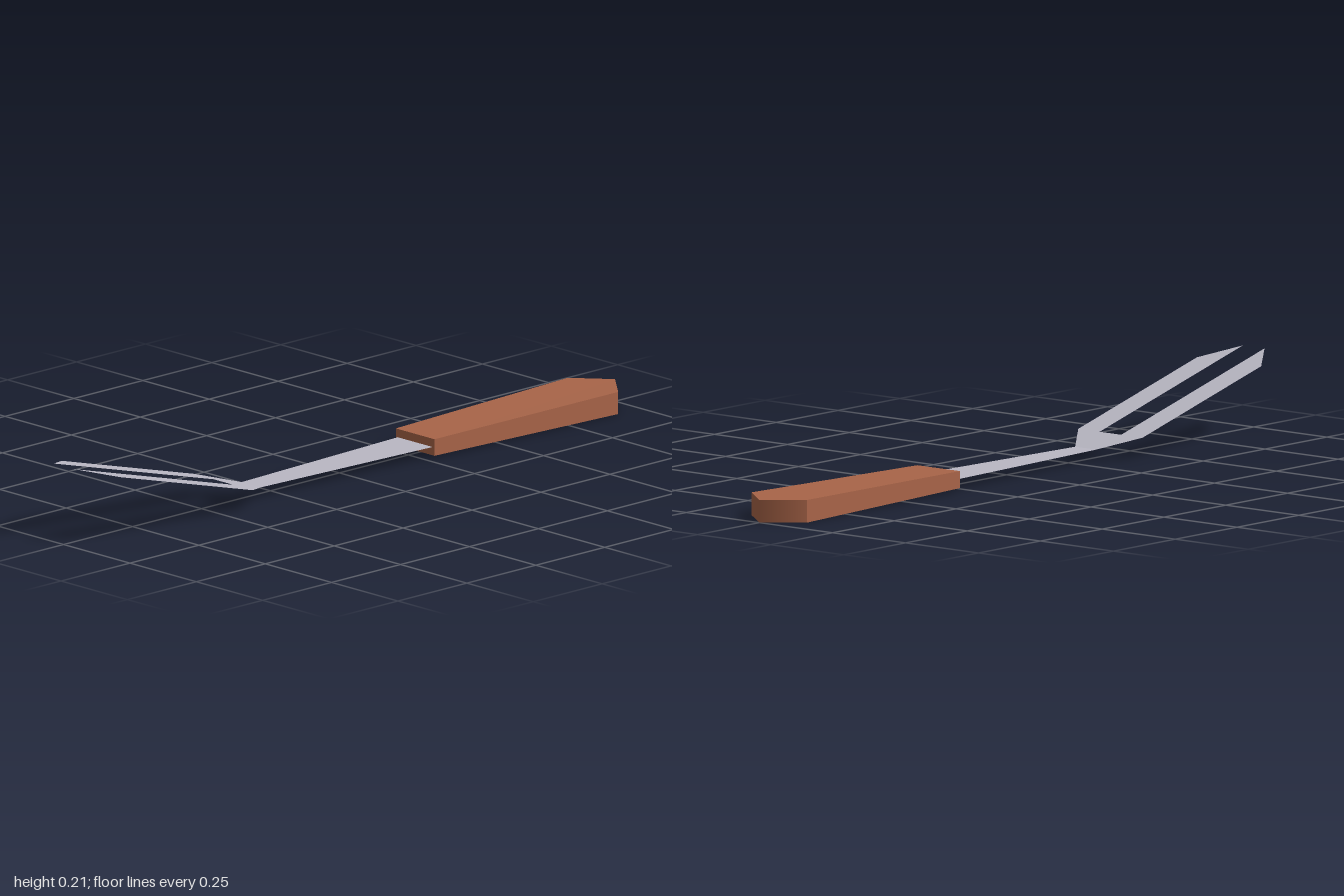
import * as THREE from 'three';

const BEND = -0.32; // x where the fork starts to rise
const MID = 0.03;   // height of the shaft sheet

// Shape lying in the ground plane, mirrored about the x axis
function mirroredShape(half) {
  const pts = half.map(([x, z]) => new THREE.Vector2(x, -z));
  const back = half.filter(p => p[1] !== 0).reverse().map(([x, z]) => new THREE.Vector2(x, z));
  return new THREE.Shape([...pts, ...back]);
}

// Set each vertex height by a rule of x and its present height
function reshape(geo, rule) {
  const p = geo.attributes.position;
  for (let i = 0; i < p.count; i++) p.setY(i, rule(p.getX(i), p.getY(i)));
  geo.computeVertexNormals();
  return geo;
}

export function createModel() {
  const group = new THREE.Group();
  const steel = new THREE.MeshStandardMaterial({ color: 0xb9b7c3, side: THREE.DoubleSide });
  steel.name = 'steel';
  const wood = new THREE.MeshStandardMaterial({ color: 0xa86448 });
  wood.name = 'wood';

  const add = (name, geo, mat) => {
    const mesh = new THREE.Mesh(geo, mat);
    mesh.name = name;
    group.add(mesh);
  };
  const sheet = half => reshape(
    new THREE.ShapeGeometry(mirroredShape(half)).rotateX(-Math.PI / 2),
    x => MID + Math.max(0, BEND - x) * 0.268
  );

  // Flat tapering shaft, running a little way into the handle
  add('shaft', sheet([[BEND, 0.036], [0.3, 0.067]]), steel);

  // Two-pronged fork, sloping upward
  add('fork', sheet([
    [-0.42, 0.037], [-1, 0.037], [-0.9, 0.11], [-0.42, 0.11], [BEND, 0.036]
  ]), steel);

  // Handle, growing wider and thicker toward its pointed end
  const handle = reshape(
    new THREE.ExtrudeGeometry(
      mirroredShape([[0.275, 0.073], [0.92, 0.095], [1, 0]]),
      { depth: 1, bevelEnabled: false }
    ).rotateX(-Math.PI / 2),
    (x, y) => MID + (y - 0.5) * (0.045 + 0.015 * Math.min(1, (x - 0.275) / 0.645))
  );
  // Soft shading across the pointed end
  const p = handle.attributes.position, n = handle.attributes.normal;
  for (let i = 0; i < p.count; i++) {
    if (p.getX(i) > 0.999 && Math.abs(n.getY(i)) < 0.5) n.setXYZ(i, 1, 0, 0);
  }
  add('handle', handle, wood);

  return group;
}
